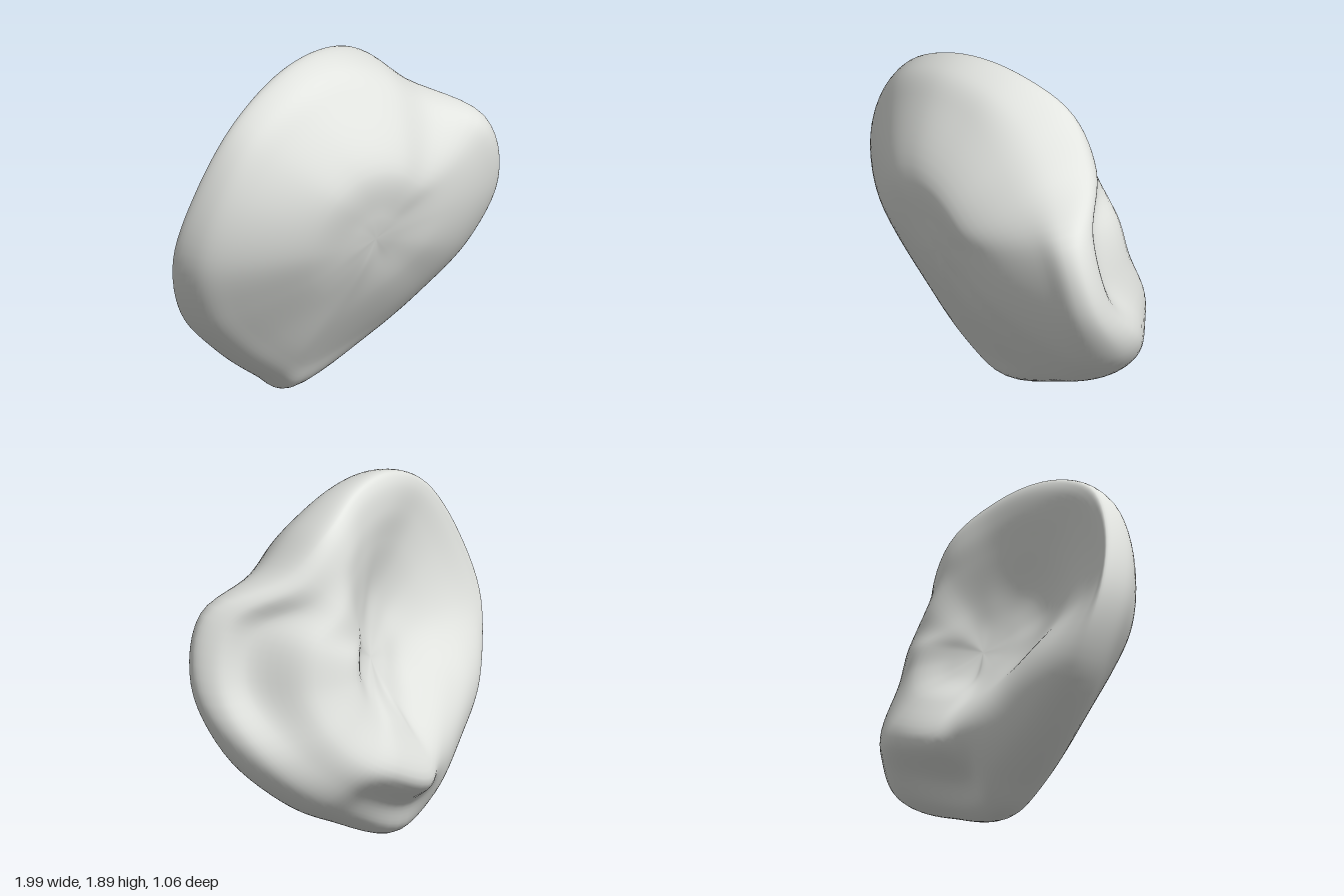
import * as THREE from 'three';
import { mergeVertices } from 'three/addons/utils/BufferGeometryUtils.js';

// Rock outline: 16 radii around (0, 1), counter-clockwise from +x; the lower tip sits a little off the even spacing
const outline = [0.99, 0.955, 0.8, 0.835, 0.885, 0.94, 0.985, 0.985, 1.0, 0.96, 0.91, 0.945, 1.01, 0.87, 0.9, 0.965];
const angles = outline.map((_, i) => (i === 12 ? 4.538 : (i / 16) * Math.PI * 2));

// Depth (z) of each ring at those 16 angles; t is the fraction of the outline radius
const edge = { t: 1, z: [0.15, 0.19, -0.07, -0.13, -0.03, 0.08, 0.15, 0.13, 0.06, -0.01, -0.04, -0.09, -0.12, -0.16, -0.18, -0.06] };
const frontOuter = { t: 0.8, z: [0.3, 0.33, 0.3, 0.29, 0.3, 0.35, 0.38, 0.38, 0.33, 0.25, 0.2, 0.15, 0.08, 0.13, 0.16, 0.23] };
const frontInner = { t: 0.45, z: [0.41, 0.44, 0.48, 0.5, 0.51, 0.52, 0.53, 0.51, 0.47, 0.41, 0.36, 0.31, 0.28, 0.32, 0.34, 0.38] };
// Back: a dish on the right, a standing ridge, and a groove on the left
const backOuter = { t: 0.8, z: [-0.05, -0.02, -0.21, -0.21, -0.1, 0, 0.1, 0.11, 0.04, -0.14, -0.25, -0.33, -0.28, -0.38, -0.44, -0.32] };
const backMiddle = { t: 0.62, z: [-0.31, -0.28, -0.28, -0.2, -0.1, 0, 0.08, 0.09, 0.03, -0.13, -0.25, -0.39, -0.47, -0.53, -0.51, -0.43] };
const backInner = { t: 0.35, z: [-0.37, -0.33, -0.24, -0.15, -0.08, 0, 0.05, 0.06, 0.02, -0.05, -0.14, -0.24, -0.34, -0.41, -0.41, -0.4] };

// Ring between the edge and a neighbour, which rounds the rim
const rimRing = (side) => ({ t: 0.95, z: edge.z.map((z, i) => z + (side.z[i] - z) * 0.58) });

// Small ring near a centre, keeping only the broad slope and bend of the ring outside it
function coreRing(ring, centreZ) {
  const t = 0.17, s = t / ring.t;
  const mean = (f) => ring.z.reduce((sum, z, i) => sum + z * f(angles[i]), 0) / 16;
  const a0 = mean(() => 1);
  const a1 = 2 * mean(Math.cos), b1 = 2 * mean(Math.sin);
  const a2 = 2 * mean((a) => Math.cos(2 * a)), b2 = 2 * mean((a) => Math.sin(2 * a));
  return {
    t,
    z: angles.map((a) => centreZ + s * (a1 * Math.cos(a) + b1 * Math.sin(a))
      + s * s * (a0 - centreZ + a2 * Math.cos(2 * a) + b2 * Math.sin(2 * a))),
  };
}

const AROUND = 96, ALONG = 72;

function ringPoints(ring) {
  const pts = ring.z.map((z, i) => {
    const r = outline[i] * ring.t;
    return new THREE.Vector3(r * Math.cos(angles[i]), 1 + r * Math.sin(angles[i]), z);
  });
  const curve = new THREE.CatmullRomCurve3(pts, true);
  return Array.from({ length: AROUND }, (_, i) => curve.getPoint(i / AROUND));
}

function rockGeometry() {
  const frontCentre = new THREE.Vector3(0, 1, 0.46);
  const backCentre = new THREE.Vector3(0, 1, -0.13);
  const rings = [
    coreRing(frontInner, frontCentre.z), frontInner, frontOuter, rimRing(frontOuter), edge,
    rimRing(backOuter), backOuter, backMiddle, backInner, coreRing(backInner, backCentre.z),
  ].map(ringPoints);
  const positions = [], index = [];

  // Each closed loop runs out over one side and returns over the opposite one
  for (let i = 0; i < AROUND; i++) {
    const opposite = (i + AROUND / 2) % AROUND;
    const loop = new THREE.CatmullRomCurve3([
      frontCentre, ...rings.map((r) => r[i]),
      backCentre, ...rings.map((r) => r[opposite]).reverse(),
    ], true);
    for (let j = 0; j <= ALONG; j++) {
      const p = j === 0 ? frontCentre : j === ALONG ? backCentre : loop.getPoint(j / ALONG / 2);
      positions.push(p.x, p.y, p.z);
    }
  }
  // Join neighbouring loops, with single triangles at both centres
  for (let i = 0; i < AROUND; i++) {
    for (let j = 0; j < ALONG; j++) {
      const a = i * (ALONG + 1) + j, d = ((i + 1) % AROUND) * (ALONG + 1) + j;
      if (j < ALONG - 1) index.push(a, a + 1, d + 1);
      if (j > 0) index.push(a, d + 1, d);
    }
  }
  let geo = new THREE.BufferGeometry();
  geo.setAttribute('position', new THREE.Float32BufferAttribute(positions, 3));
  geo.setIndex(index);
  geo = mergeVertices(geo, 1e-5);

  // Centre it and stand it on the ground
  geo.computeBoundingBox();
  const { min, max } = geo.boundingBox;
  geo.translate(-(min.x + max.x) / 2, -min.y, -(min.z + max.z) / 2);
  geo.computeVertexNormals();
  return geo;
}

export function createModel() {
  const stone = new THREE.MeshStandardMaterial({ color: 0xe2e4e0 });
  stone.name = 'stone grey';
  const rock = new THREE.Mesh(rockGeometry(), stone);
  rock.name = 'rock';
  const group = new THREE.Group();
  group.name = 'boulder';
  group.add(rock);
  return group;
}
